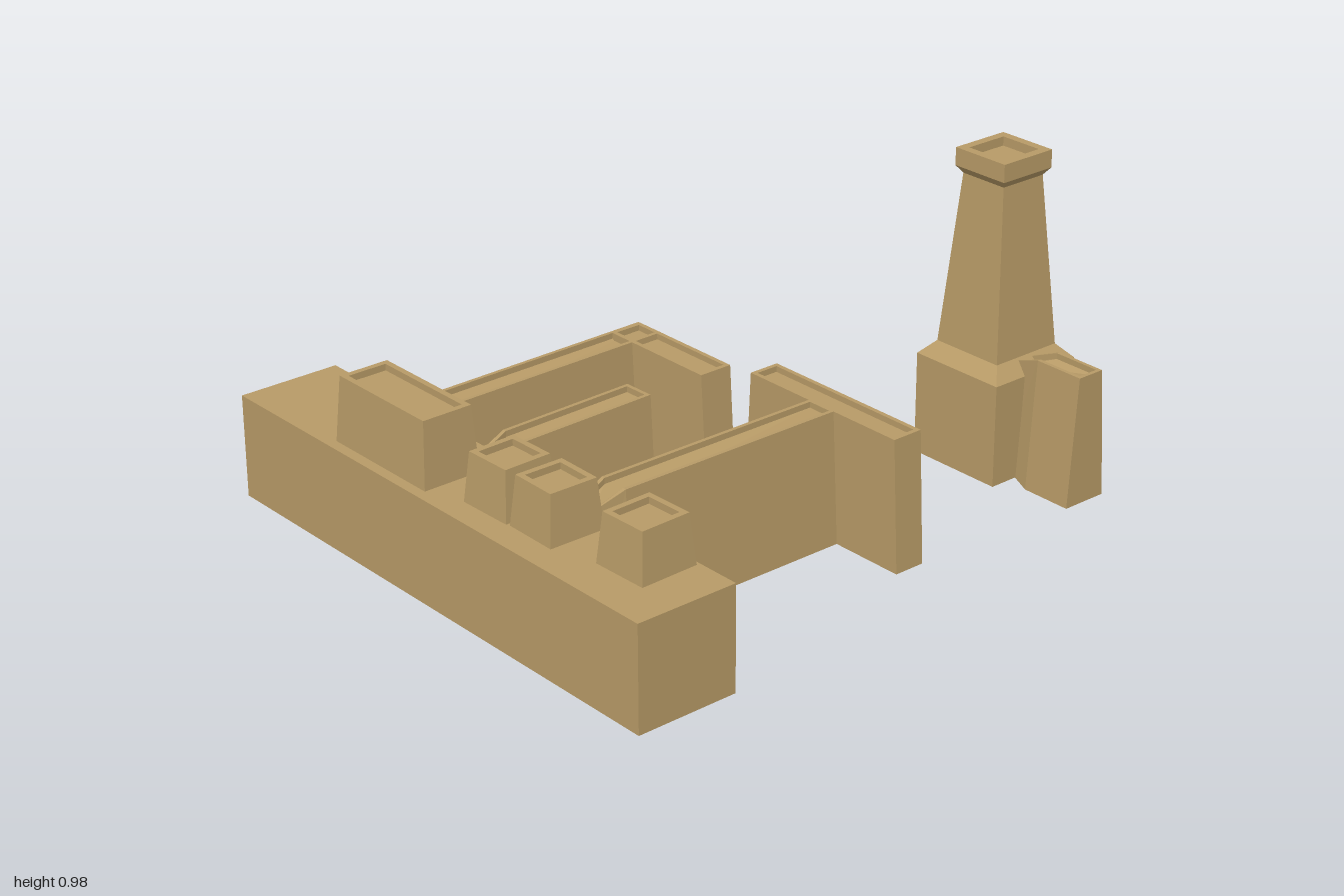
import * as THREE from 'three';

const sandstone = new THREE.MeshStandardMaterial({ color: 0xb89b67 });
sandstone.name = 'sandstone';

// Collects flat polygons (fan-triangulated, counter-clockwise from outside).
function facesToMesh(name, faces) {
  const pos = [];
  for (const f of faces)
    for (let i = 1; i < f.length - 1; i++) pos.push(...f[0], ...f[i], ...f[i + 1]);
  const geo = new THREE.BufferGeometry();
  geo.setAttribute('position', new THREE.Float32BufferAttribute(pos, 3));
  geo.computeVertexNormals();
  const mesh = new THREE.Mesh(geo, sandstone);
  mesh.name = name;
  return mesh;
}

// Skins horizontal rings from bottom to top and closes both ends.
function skin(rings, skip) {
  const faces = [[...rings[0]].reverse(), rings[rings.length - 1]];
  for (let r = 0; r < rings.length - 1; r++) {
    const a = rings[r], b = rings[r + 1], n = a.length;
    for (let i = 0; i < n; i++) {
      if (r === 0 && i === skip) continue;
      const j = (i + 1) % n;
      faces.push([a[i], a[j], b[j], b[i]]);
    }
  }
  return faces;
}

const rect = (x0, x1, z0, z1, y) => [[x0, y, z1], [x1, y, z1], [x1, y, z0], [x0, y, z0]];

// Rings of a battered block with a sunken roof behind a parapet.
function blockRings(x0, x1, z0, z1, y0, y1, tx, tz, rim, depth) {
  const top = (g, y) => rect(x0 + tx + g, x1 - tx - g, z0 + tz + g, z1 - tz - g, y);
  return [rect(x0, x1, z0, z1, y0), top(0, y1), top(rim, y1), top(rim, y1 - depth)];
}

// Small building with a recessed doorway in its +x face.
function house(name, x0, x1, z0, z1, y1, doorZ, turn = 0) {
  const cx = (x0 + x1) / 2, cz = (z0 + z1) / 2, hx = (x1 - x0) / 2, hz = (z1 - z0) / 2;
  const y0 = 0.334, batter = 0.013, dw = 0.032, dh = 0.44, dz = doorZ - cz;
  const faces = skin(blockRings(-hx, hx, -hz, hz, y0, y1, batter, batter, 0.018, 0.02), 1);
  const onWall = (y, z) => [hx - batter * (y - y0) / (y1 - y0), y, z];
  const back = (y, z) => [hx - 0.04, y, z];
  const edge = (y, s) => s * (hz - batter * (y - y0) / (y1 - y0));
  const l = dz + dw, r = dz - dw;
  // Door wall: two piers and the lintel
  faces.push(
    [onWall(y0, edge(y0, 1)), onWall(y0, l), onWall(dh, l), onWall(dh, edge(dh, 1))],
    [onWall(y0, r), onWall(y0, edge(y0, -1)), onWall(dh, edge(dh, -1)), onWall(dh, r)],
    [onWall(dh, edge(dh, 1)), onWall(dh, edge(dh, -1)), onWall(y1, edge(y1, -1)), onWall(y1, edge(y1, 1))],
    // Door recess: back, jambs and soffit
    [back(y0, l), back(y0, r), back(dh, r), back(dh, l)],
    [onWall(y0, l), back(y0, l), back(dh, l), onWall(dh, l)],
    [back(y0, r), onWall(y0, r), onWall(dh, r), back(dh, r)],
    [onWall(dh, l), back(dh, l), back(dh, r), onWall(dh, r)],
  );
  const mesh = facesToMesh(name, faces);
  mesh.position.set(cx, 0, cz);
  mesh.rotation.y = turn;
  return mesh;
}

// Battered wall from a narrowed root (x0,z0) to a plumb end (x1,z1).
function rootedWall(name, x0, z0, x1, z1, root, halfBase, halfTop) {
  const len = Math.hypot(x1 - x0, z1 - z0), h = 0.405;
  const ring = (w, wRoot, g, y, yRoot) => [
    [g, yRoot, wRoot], [root, y, w], [len - g, y, w],
    [len - g, y, -w], [root, y, -w], [g, yRoot, -wRoot],
  ];
  const rim = 0.012, t = halfTop - rim;
  const mesh = facesToMesh(name, skin([
    ring(halfBase, halfBase * 0.6, 0, 0, 0.03),
    ring(halfTop, halfTop * 0.6, 0, h, 0.36),
    ring(t, t * 0.6, rim, h, 0.362),
    ring(t, t * 0.6, rim, h - 0.018, 0.345),
  ]));
  mesh.position.set(x0, 0, z0);
  mesh.rotation.y = -Math.atan2(z1 - z0, x1 - x0);
  return mesh;
}

export function createModel() {
  const model = new THREE.Group();
  model.name = 'fortress';

  // Long raised platform
  model.add(facesToMesh('platform', skin([
    rect(-1, -0.677, -0.89, 0.885, 0.015), rect(-1, -0.677, -0.89, 0.885, 0.335),
  ])));

  // Houses on the platform
  model.add(
    house('greatHouse', -0.967, -0.782, -0.463, -0.048, 0.535, -0.365),
    house('rearHouse', -0.922, -0.745, 0.067, 0.247, 0.485, 0.157, 0.02),
    house('middleHouse', -0.917, -0.739, 0.26, 0.436, 0.485, 0.348, -0.015),
    house('frontHouse', -0.875, -0.69, 0.568, 0.748, 0.485, 0.658, 0.025),
  );

  // Walls running out of the platform
  model.add(
    rootedWall('rearWall', -0.78, -0.37, 0.095, -0.379, 0.13, 0.074, 0.051),
    rootedWall('middleWall', -0.79, -0.047, -0.21, -0.061, 0.13, 0.073, 0.05),
    rootedWall('frontWall', -0.75, 0.352, 0.11, 0.356, 0.11, 0.074, 0.051),
  );

  // Cross walls, battered only at their ends
  model.add(
    facesToMesh('rearCrossWall', skin(blockRings(-0.015, 0.095, -0.452, 0.008, 0, 0.405, 0, 0.026, 0.014, 0.018))),
    facesToMesh('frontCrossWall', skin(blockRings(0.104, 0.204, 0.039, 0.672, 0, 0.405, 0, 0.022, 0.014, 0.018))),
  );

  // Watchtower from stacked square sections: [half width, height]
  const tower = new THREE.Group();
  tower.name = 'watchtower';
  tower.position.set(0.837, 0, 0.323);
  const stack = (name, list) =>
    tower.add(facesToMesh(name, skin(list.map(([s, y]) => rect(-s, s, -s, s, y)))));
  stack('towerBase', [[0.163, 0.015], [0.163, 0.335], [0.122, 0.378]]);
  stack('towerShaft', [[0.122, 0.376], [0.08, 0.91]]);
  stack('towerCrown', [[0.08, 0.905], [0.097, 0.928], [0.097, 0.983], [0.07, 0.983], [0.07, 0.955]]);
  model.add(tower);

  // Wall stub in front of the tower
  model.add(rootedWall('towerWall', 0.832, 0.42, 0.83, 0.705, 0.12, 0.075, 0.046));
  return model;
}
